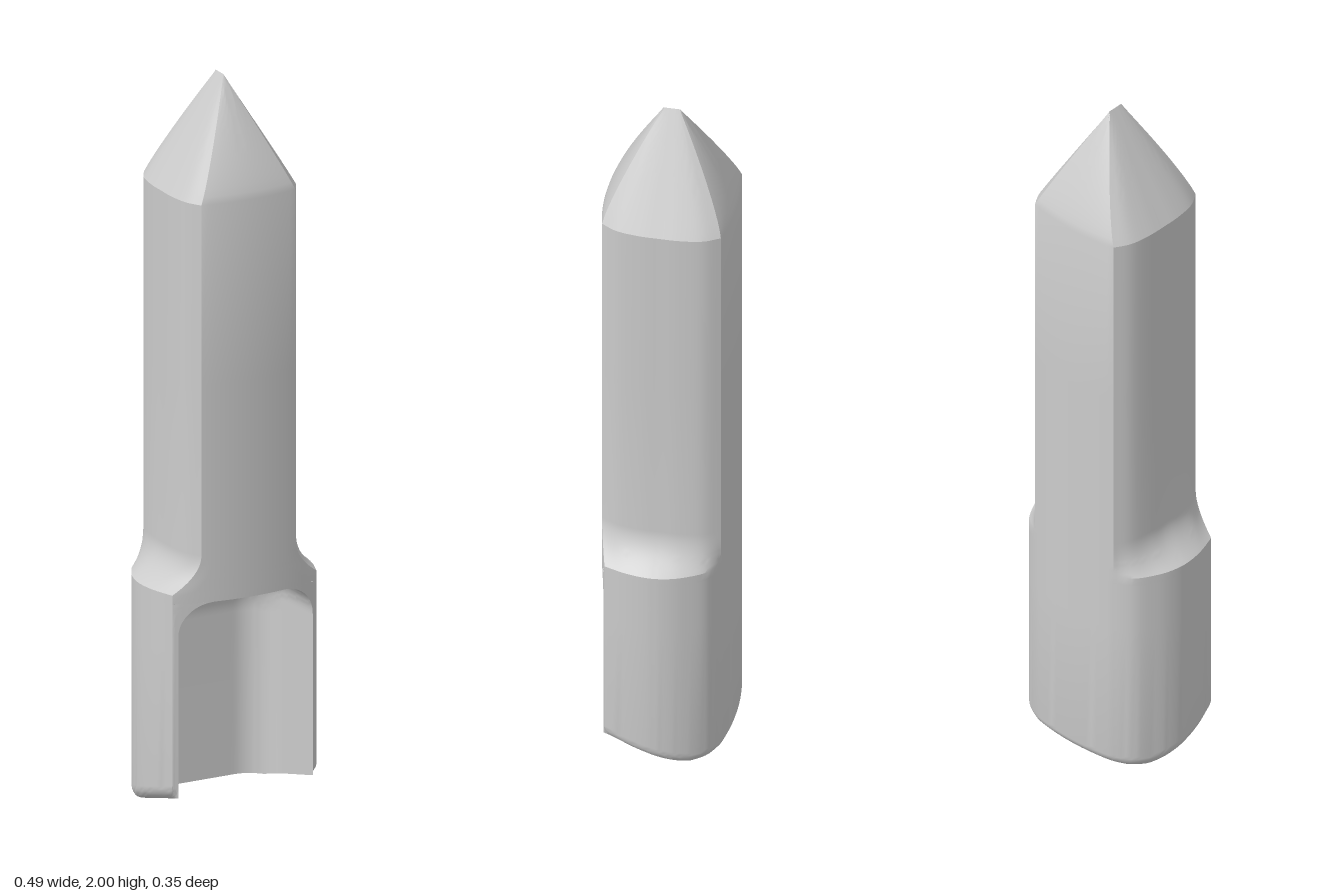
import * as THREE from 'three';
import { toCreasedNormals } from 'three/addons/utils/BufferGeometryUtils.js';

const V2 = (x, z) => new THREE.Vector2(x, z);
const lerp = THREE.MathUtils.lerp;

// Gently bulged front face; the back mirrors it
const faceZ = (x) => 0.175 - 0.8 * x * x;

// Side outlines (x, z) from front corner to back corner: slim shaft and wide socket
const SLIM = [[0.14, 0.159], [0.164, 0.115], [0.174, 0.055], [0.175, 0], [0.174, -0.055], [0.164, -0.115], [0.14, -0.159]];
const WIDE = [[0.215, 0.137], [0.235, 0.075], [0.243, 0.015], [0.237, -0.035], [0.22, -0.08], [0.188, -0.13], [0.14, -0.159]];

// Half of the outer cross-section, from x = start on the front face round to the back middle
function outerHalf(wide, start) {
  const side = new THREE.SplineCurve(SLIM.map(([x, z], i) => V2(lerp(x, WIDE[i][0], wide), lerp(z, WIDE[i][1], wide)))).getPoints(28);
  const pts = [];
  for (let i = 0; i < 8; i++) {
    const x = lerp(start, side[0].x, i / 8);
    pts.push(V2(x, faceZ(x)));
  }
  pts.push(...side);
  for (let i = 1; i <= 8; i++) {
    const x = lerp(0.14, 0, i / 8);
    pts.push(V2(x, -faceZ(x)));
  }
  return pts;
}

// Half of the recess cross-section, with the same number of points
function innerHalf(h, back, count) {
  const path = new THREE.Path();
  path.moveTo(h, faceZ(h));
  path.lineTo(h, back + 0.1);
  path.bezierCurveTo(h, back + 0.045, h - 0.04, back, h - 0.09, back);
  path.lineTo(0, back);
  return path.getSpacedPoints(count - 1);
}

// Adds the mirrored half, running round to the other side
const mirrored = (half) => [...half, ...half.slice(0, -1).reverse().map((p) => V2(-p.x, p.y))];

// Skins closed rings of equal length
function loft(rings) {
  const n = rings[0].length, pos = [], index = [];
  rings.forEach((ring, r) => ring.forEach((p, i) => {
    pos.push(p.x, p.y, p.z);
    if (r === rings.length - 1) return;
    const a = r * n + i, b = r * n + (i + 1) % n;
    index.push(a, b, b + n, a, b + n, a + n);
  }));
  const g = new THREE.BufferGeometry();
  g.setAttribute('position', new THREE.Float32BufferAttribute(pos, 3));
  g.setIndex(index);
  return toCreasedNormals(g, 0.45);
}

// Shoulder, shaft and pointed tip
function shaftGeometry() {
  const rings = [];
  const ring = (y, wide, sx = 1, zMap = (z) => z) =>
    rings.push(mirrored(outerHalf(wide, 0)).map((p) => new THREE.Vector3(p.x * sx, y, zMap(p.y))));
  ring(0.6, 1);
  for (let i = 0; i <= 12; i++) ring(0.625 + 0.105 * i / 12, (1 - i / 12) ** 2);
  ring(1.2, 0);
  // The tip closes to a short ridge running front to back
  for (let i = 0; i <= 16; i++) {
    const t = i / 16, g = 1 - t ** 1.2;
    ring(1.7 + 0.3 * t, 0, 1 - t, (z) => lerp(z * 0.13, z, g));
  }
  return loft(rings);
}

// Open-fronted socket with slanted, rounded foot
function socketGeometry() {
  const rings = [];
  const ring = (y, shrink = 0, ceiling = false) => {
    const u = Math.min(1, Math.max(0, (y - 0.45) / 0.15));
    const v = Math.min(1, Math.max(0, (y - 0.5) / 0.1));
    const h = 0.1 + 0.1 * Math.sqrt(1 - v * v);
    const back = -0.125 + 0.15 * (1 - Math.sqrt(1 - u * u));
    const out = outerHalf(1, h), inn = innerHalf(h, back, out.length);
    const outer = mirrored(out.map((p, i) => p.clone().lerp(inn[i], shrink)));
    const inner = mirrored(inn).reverse();
    if (ceiling) inner.forEach((p) => { p.y = faceZ(p.x); });
    rings.push([...outer, ...inner].map((p) => {
      const foot = Math.max(0, (p.y + 0.09) * 0.27);
      return new THREE.Vector3(p.x, y + foot * (1 - y / 0.6), p.y);
    }));
  };
  // Foot rim: from the inner edge, round the fillet, up to the outer wall
  ring(0, 1);
  for (let i = 0; i <= 8; i++) {
    const a = i / 8 * Math.PI / 2;
    ring(0.04 * (1 - Math.cos(a)), 0.7 * (1 - Math.sin(a)));
  }
  // Walls, then the rounded top of the recess and its ceiling
  for (let i = 0; i <= 24; i++) ring(i === 24 ? 0.6 : 0.45 + 0.15 * Math.sin(i / 24 * Math.PI / 2));
  ring(0.6, 0, true);
  return loft(rings);
}

export function createModel() {
  const group = new THREE.Group();
  group.name = 'pointedSocketTool';
  const material = new THREE.MeshStandardMaterial({ color: 0xcccccc });
  const add = (name, geometry) => {
    const mesh = new THREE.Mesh(geometry, material);
    mesh.name = name;
    group.add(mesh);
  };
  add('pointedShaft', shaftGeometry());
  add('openSocket', socketGeometry());
  return group;
}
